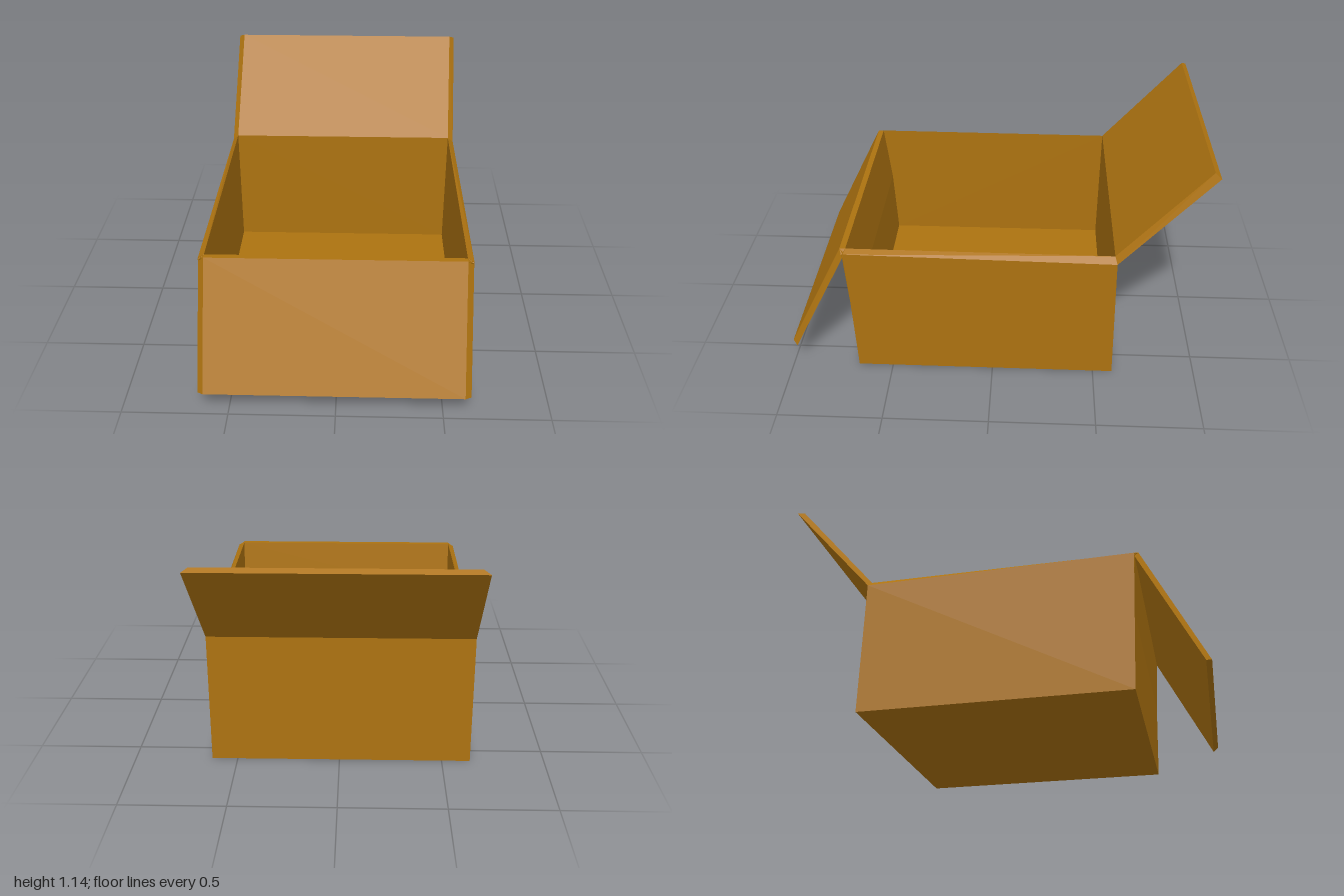
import * as THREE from 'three';

// Closed panel between two matching polygons; the outer one runs counter-clockwise seen from outside
function panel(name, outer, inner, material) {
  const n = outer.length, pos = [];
  const tri = (...pts) => pts.forEach(p => pos.push(...p));
  for (let i = 1; i < n - 1; i++) {
    tri(outer[0], outer[i], outer[i + 1]);
    tri(inner[0], inner[i + 1], inner[i]);
  }
  for (let i = 0; i < n; i++) {
    const j = (i + 1) % n;
    tri(outer[j], outer[i], inner[i]);
    tri(outer[j], inner[i], inner[j]);
  }
  const g = new THREE.BufferGeometry();
  g.setAttribute('position', new THREE.Float32BufferAttribute(pos, 3));
  g.computeVertexNormals();
  const mesh = new THREE.Mesh(g, material);
  mesh.name = name;
  return mesh;
}

export function createModel() {
  const box = new THREE.Group();
  box.name = 'openBox';
  const cardboard = new THREE.MeshStandardMaterial({ color: 0xac7210 });
  cardboard.name = 'cardboard';

  // Folded sheet from back flap to front flap: z, y, left x, right x for outside and inside
  const folds = [
    { o: [-1.0, 1.125, -0.626, 0.635], i: [-0.975, 1.14, -0.597, 0.607] },
    { o: [-0.582, 0.65, -0.638, 0.625], i: [-0.572, 0.677, -0.61, 0.595] },
    { o: [-0.595, 0, -0.638, 0.625], i: [-0.568, 0.028, -0.61, 0.595] },
    { o: [0.67, 0, -0.638, 0.625], i: [0.637, 0.028, -0.61, 0.595] },
    { o: [0.685, 0.38, -0.638, 0.625], i: [0.655, 0.38, -0.61, 0.595] },
    { o: [0.704, 0.665, -0.638, 0.625], i: [0.69, 0.682, -0.61, 0.595] },
  ];
  const names = ['backFlap', 'backWall', 'floor', 'frontWallLower', 'frontWallUpper'];
  const quad = (a, b) => [[a[2], a[1], a[0]], [a[3], a[1], a[0]], [b[3], b[1], b[0]], [b[2], b[1], b[0]]];
  names.forEach((name, k) => {
    const a = folds[k], b = folds[k + 1];
    box.add(panel(name, quad(a.o, b.o), quad(a.i, b.i), cardboard));
  });

  // Front flap hanging outward: narrow face on top, wide face beneath
  const under = quad([0.692, 0.668, -0.638, 0.625], [0.975, 0.107, -0.638, 0.625]);
  const top = quad([0.718, 0.682, -0.61, 0.595], [1.0, 0.118, -0.61, 0.595]);
  box.add(panel('frontFlap', under, top, cardboard));
  // Narrow strip across the front fold
  const foldUnder = quad([0.704, 0.664, -0.638, 0.625], [0.706, 0.662, -0.638, 0.625]);
  const foldTop = quad([0.69, 0.682, -0.61, 0.595], [0.718, 0.682, -0.61, 0.595]);
  box.add(panel('frontFold', foldUnder, foldTop, cardboard));

  // Side walls as z, y outlines
  const outside = [[-0.595, 0], [-0.582, 0.65], [0.7, 0.668], [0.685, 0.38], [0.67, 0]];
  const inside = [[-0.568, 0.028], [-0.572, 0.677], [0.69, 0.682], [0.655, 0.38], [0.637, 0.028]];
  for (const [name, xo, xi] of [['leftWall', 0.625, 0.595], ['rightWall', -0.638, -0.61]]) {
    const o = outside.map(([z, y]) => [xo, y, z]);
    const i = inside.map(([z, y]) => [xi, y, z]);
    if (xo < 0) { o.reverse(); i.reverse(); }
    box.add(panel(name, o, i, cardboard));
  }
  return box;
}
